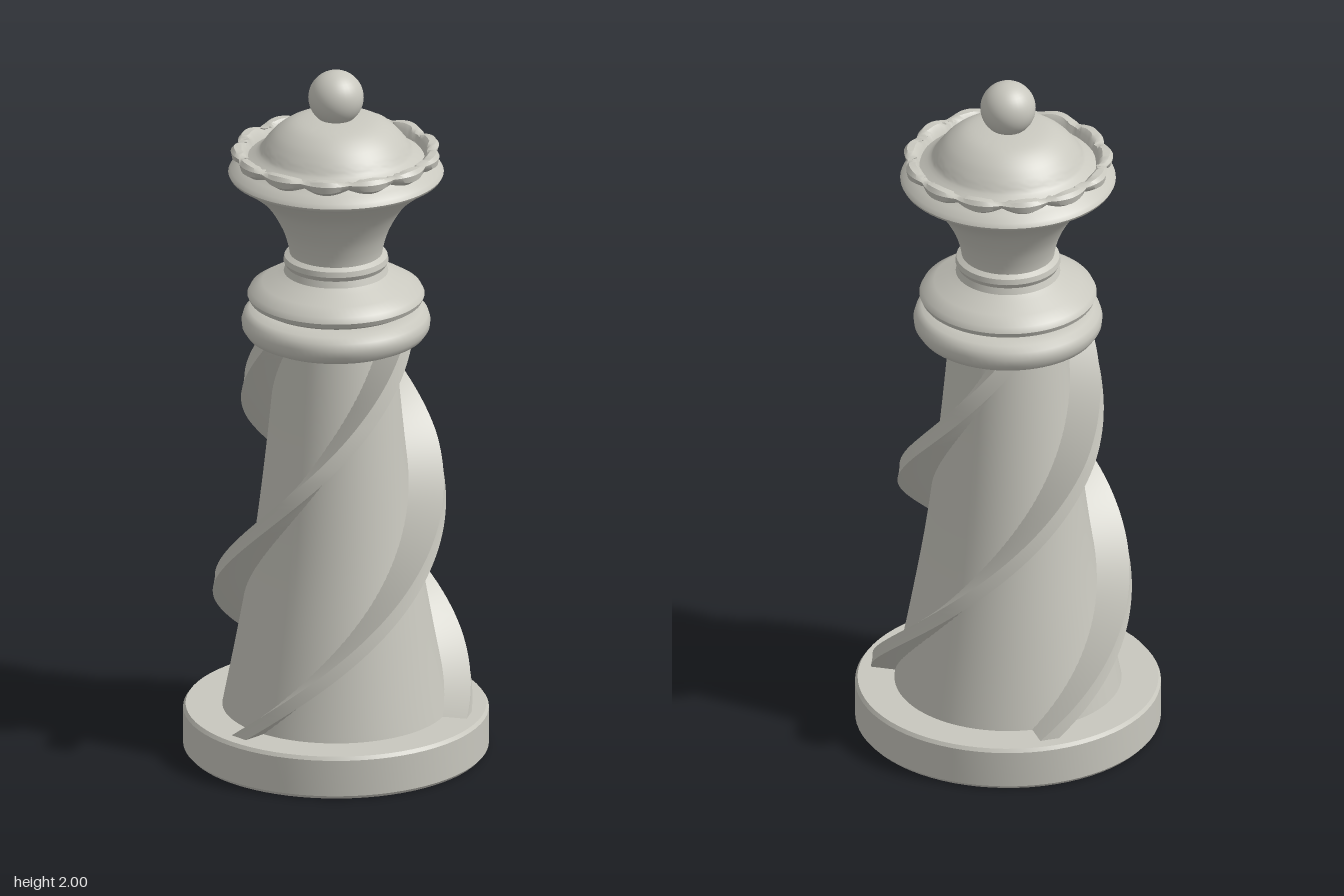
import * as THREE from 'three';
import { toCreasedNormals } from 'three/addons/utils/BufferGeometryUtils.js';

const stone = new THREE.MeshStandardMaterial({ color: 0xc8c7be });
stone.name = 'pale stone';

const FIN_COUNT = 3;
const SCALLOPS = 13;

function part(name, geometry) {
  const mesh = new THREE.Mesh(geometry, stone);
  mesh.name = name;
  return mesh;
}

// Turned part; points run from the bottom to the top of the outside
function turned(name, points, crease = 0.6, segments = 72) {
  const profile = points.map(([r, y]) => new THREE.Vector2(r, y));
  return part(name, toCreasedNormals(new THREE.LatheGeometry(profile, segments), crease));
}

// Smooth curve through a few profile points
function smooth(points, n) {
  const curve = new THREE.SplineCurve(points.map(([r, y]) => new THREE.Vector2(r, y)));
  return curve.getPoints(n).map((p) => [p.x, p.y]);
}

// Outer radius of a fin at height y
const finCurve = [[0.1, 0.385], [0.3, 0.362], [0.6, 0.322], [0.9, 0.287], [1.05, 0.26], [1.25, 0.23]];
function finRadius(y) {
  for (let i = 1; i < finCurve.length; i++) {
    const [y0, r0] = finCurve[i - 1];
    const [y1, r1] = finCurve[i];
    if (y <= y1) return r0 + ((r1 - r0) * (y - y0)) / (y1 - y0);
  }
  return 0.23;
}

// Fin twisting up around the shaft, made from four-cornered cross-sections
function finGeometry(startAngle) {
  const steps = 72, y0 = 0.1, y1 = 1.24;
  const positions = [], index = [];
  for (let i = 0; i <= steps; i++) {
    const y = y0 + ((y1 - y0) * i) / steps;
    const angle = startAngle + THREE.MathUtils.degToRad(201) * (y - 0.125);
    const outer = finRadius(y), inner = outer - 0.14;
    const corners = [[inner, -0.034], [outer, -0.027], [outer, 0.027], [inner, 0.034]];
    for (const [r, t] of corners) {
      positions.push(
        r * Math.sin(angle) + t * Math.cos(angle), y,
        r * Math.cos(angle) - t * Math.sin(angle));
    }
    if (i === steps) continue;
    for (let k = 0; k < 4; k++) {
      const a = i * 4 + k, b = i * 4 + ((k + 1) % 4);
      index.push(a, b, b + 4, a, b + 4, a + 4);
    }
  }
  const geometry = new THREE.BufferGeometry();
  geometry.setAttribute('position', new THREE.Float32BufferAttribute(positions, 3));
  geometry.setIndex(index);
  return toCreasedNormals(geometry, 0.7);
}

// Crown rim: a turned ring pushed into rounded lobes
function scallopedRim() {
  const profile = [[0.235, 1.725], [0.268, 1.732], [0.288, 1.745], [0.292, 1.765],
    [0.283, 1.777], [0.262, 1.777], [0.25, 1.765], [0.24, 1.735]];
  const geometry = new THREE.LatheGeometry(
    profile.map(([r, y]) => new THREE.Vector2(r, y)), SCALLOPS * 12);
  const pos = geometry.attributes.position;
  for (let i = 0; i < pos.count; i++) {
    const x = pos.getX(i), y = pos.getY(i), z = pos.getZ(i);
    const r = Math.hypot(x, z), angle = Math.atan2(x, z) - Math.PI;
    const dip = 1 - Math.abs(Math.sin((angle * SCALLOPS) / 2));
    const side = r > 0.262 ? -0.014 : 0.006;
    const k = (r + side * dip) / r;
    const lift = y > 1.77 ? -0.01 * dip : y < 1.76 ? 0.012 * dip : 0;
    pos.setXYZ(i, x * k, y + lift, z * k);
  }
  return toCreasedNormals(geometry, 0.7);
}

export function createModel() {
  const model = new THREE.Group();
  model.name = 'chessPiece';

  // Foot and tapering shaft
  model.add(turned('base', [[0, 0], [0.415, 0], [0.424, 0.01], [0.424, 0.115], [0.417, 0.125], [0, 0.125]]));
  model.add(turned('shaft', smooth(
    [[0.318, 0.11], [0.27, 0.36], [0.226, 0.62], [0.19, 0.92], [0.16, 1.24]], 20)));

  // Twisted fins
  const fins = new THREE.Group();
  fins.name = 'twistedFins';
  for (let i = 0; i < FIN_COUNT; i++) {
    const start = THREE.MathUtils.degToRad(-11) + (i * Math.PI * 2) / FIN_COUNT;
    fins.add(part('fin', finGeometry(start)));
  }
  model.add(fins);

  // Two collar rings
  model.add(turned('lowerCollar', [[0, 1.217], [0.225, 1.217], [0.248, 1.228], [0.26, 1.246],
    [0.262, 1.266], [0.256, 1.286], [0.24, 1.3], [0.205, 1.306], [0, 1.306]]));
  model.add(turned('upperCollar', [[0.19, 1.295], [0.19, 1.315], [0.22, 1.317], [0.24, 1.328], [0.246, 1.342],
    [0.238, 1.358], [0.205, 1.378], [0.165, 1.398], [0.145, 1.41], [0.138, 1.43], [0, 1.43]]));

  // Neck bead and flaring head
  model.add(turned('neckBead', [[0.12, 1.42], [0.138, 1.427], [0.146, 1.442], [0.143, 1.457], [0.125, 1.468]]));
  model.add(turned('head', [
    ...smooth([[0.126, 1.44], [0.133, 1.49], [0.154, 1.55], [0.198, 1.62], [0.262, 1.675], [0.295, 1.696]], 22),
    [0.299, 1.704], [0.292, 1.716], [0.27, 1.73], [0.25, 1.745], [0, 1.745]]));

  // Scalloped crown, dome and ball
  model.add(part('crownRim', scallopedRim()));
  model.add(turned('dome', smooth(
    [[0.252, 1.742], [0.215, 1.765], [0.197, 1.79], [0.165, 1.825], [0.12, 1.852], [0.06, 1.863], [0, 1.865]], 24)));
  const ball = part('ball', new THREE.SphereGeometry(0.077, 32, 24));
  ball.position.y = 1.923;
  model.add(ball);

  return model;
}
